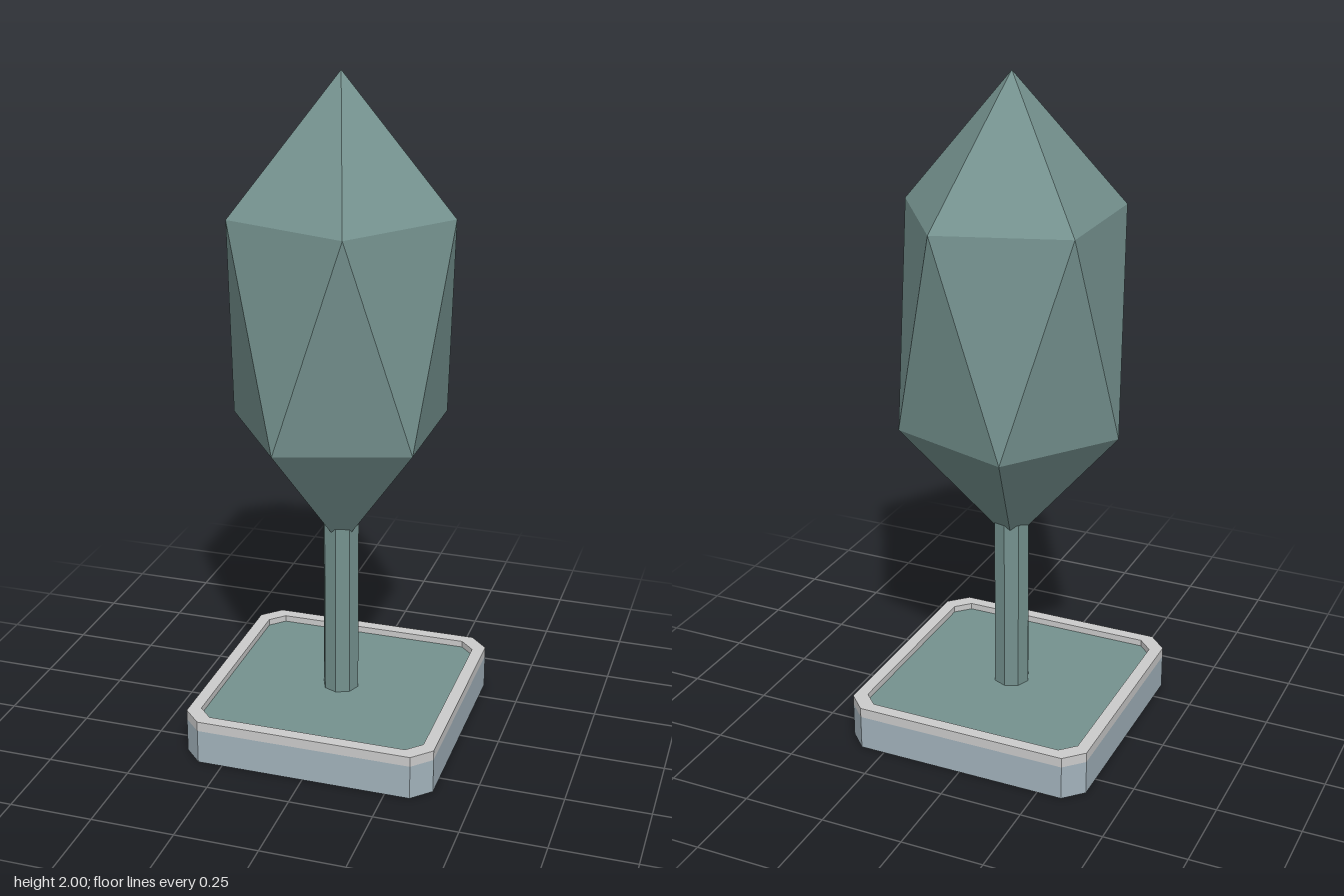
import * as THREE from 'three';

const mat = (color) => new THREE.MeshStandardMaterial({ color, flatShading: true });

// Square with cut corners: h = half width, c = where the corner cut starts
function cutSquare(h, c) {
  return [[h, -c], [h, c], [c, h], [-c, h], [-h, c], [-h, -c], [-c, -h], [c, -h]]
    .map(([x, y]) => new THREE.Vector2(x, y));
}

// Horizontal slab from y0 to y1, with an optional hole
function slab(outer, y0, y1, hole) {
  const shape = new THREE.Shape(outer);
  if (hole) shape.holes.push(new THREE.Path(hole));
  const geo = new THREE.ExtrudeGeometry(shape, { depth: y1 - y0, bevelEnabled: false });
  return geo.rotateX(-Math.PI / 2).translate(0, y0, 0);
}

export function createModel() {
  const group = new THREE.Group();
  const add = (name, geo, material) => {
    const mesh = new THREE.Mesh(geo, material);
    mesh.name = name;
    group.add(mesh);
  };
  const green = mat(0x75928f);
  const outer = cutSquare(0.38, 0.325);
  const inner = cutSquare(0.343, 0.3);

  // Square base, raised rim and the ground inside it
  add('base', slab(outer, 0, 0.105), mat(0xa3b3bc));
  add('rim', slab(outer, 0.105, 0.135, inner), mat(0xcccccc));
  add('ground', slab(inner, 0.105, 0.115), green);

  // Eight-sided trunk
  add('trunk', new THREE.CylinderGeometry(0.055, 0.055, 0.55, 8).translate(0, 0.385, 0), green);

  // Crown: a stretched icosahedron made of two staggered rings of five and two tips
  const tips = [[0, 2, 0], [0, 0.585, 0]];
  const ring = (y, start) => Array.from({ length: 5 }, (_, i) => {
    const a = start + (i * Math.PI * 2) / 5;
    return [0.333 * Math.cos(a), y, -0.333 * Math.sin(a)];
  });
  const up = ring(1.609, 0);
  const low = ring(0.976, Math.PI / 5);
  const points = [];
  for (let i = 0; i < 5; i++) {
    const j = (i + 1) % 5;
    points.push(tips[0], up[i], up[j]);
    points.push(up[i], low[i], up[j]);
    points.push(low[i], low[j], up[j]);
    points.push(tips[1], low[j], low[i]);
  }
  const crown = new THREE.BufferGeometry();
  crown.setAttribute('position', new THREE.Float32BufferAttribute(points.flat(), 3));
  crown.computeVertexNormals();
  add('crown', crown, green);

  return group;
}
